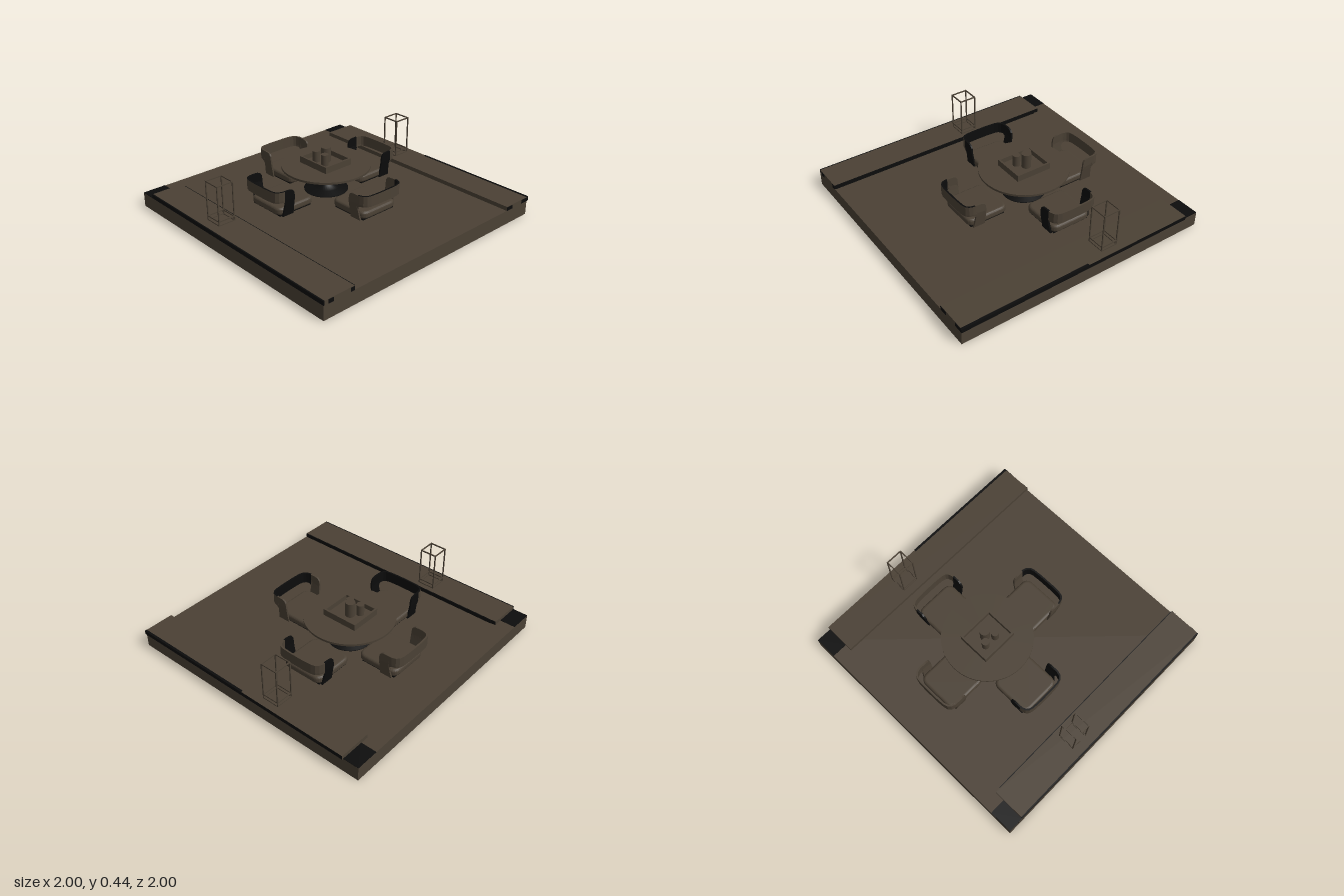
import * as THREE from 'three';

const brown = new THREE.MeshStandardMaterial({ color: 0x4b4135 });
brown.name = 'dark taupe';
const black = new THREE.MeshStandardMaterial({ color: 0x0c0c0c });
black.name = 'black';

function add(parent, name, geometry, material, x = 0, y = 0, z = 0) {
  const mesh = new THREE.Mesh(geometry, material);
  mesh.name = name;
  mesh.position.set(x, y, z);
  parent.add(mesh);
  return mesh;
}

// Box given by its minimum and maximum corners
function span(parent, name, material, x0, x1, y0, y1, z0, z1) {
  return add(parent, name, new THREE.BoxGeometry(x1 - x0, y1 - y0, z1 - z0), material,
    (x0 + x1) / 2, (y0 + y1) / 2, (z0 + z1) / 2);
}

// Rounded cushion lying flat, centred on its own origin in x and z, with its foot at y = 0
function cushionGeometry(w, d, h, corner, bevel) {
  const a = w / 2 - bevel, b = d / 2 - bevel, r = corner;
  const s = new THREE.Shape();
  s.moveTo(-a + r, -b);
  s.lineTo(a - r, -b); s.quadraticCurveTo(a, -b, a, -b + r);
  s.lineTo(a, b - r); s.quadraticCurveTo(a, b, a - r, b);
  s.lineTo(-a + r, b); s.quadraticCurveTo(-a, b, -a, b - r);
  s.lineTo(-a, -b + r); s.quadraticCurveTo(-a, -b, -a + r, -b);
  const g = new THREE.ExtrudeGeometry(s, {
    depth: h - 2 * bevel, bevelEnabled: true, bevelSize: bevel,
    bevelThickness: bevel, bevelSegments: 4, curveSegments: 6,
  });
  return g.rotateX(-Math.PI / 2).translate(0, bevel, 0);
}

// Half of the chair shell in plan: [x, z, bottom, top], from the arm's front to the middle of the back
const half = [
  [0.19, 0.165, 0.11, 0.255], [0.19, 0.161, 0.11, 0.285], [0.19, 0.15, 0.11, 0.302],
  [0.19, 0.13, 0.11, 0.31], [0.19, 0.1, 0.11, 0.312], [0.19, 0.088, 0.14, 0.312],
  [0.19, 0.084, 0.205, 0.312], [0.19, 0.076, 0.22, 0.312], [0.188, 0.06, 0.23, 0.312],
  [0.178, 0.032, 0.23, 0.312], [0.158, 0.013, 0.23, 0.312], [0.125, 0.004, 0.23, 0.312],
  [0.06, 0.0, 0.23, 0.312], [0, 0, 0.23, 0.312],
];

// Groups: 0 outside, 1 inside and rims, 2 arms
function shellGeometry() {
  const cols = [...half, ...half.slice(0, -1).reverse().map(([x, z, b, t]) => [-x, z, b, t])];
  const rows = 6, thick = 0.013, parts = [[], [], []];
  const point = (i, j, inner) => {
    const [x, z, b, t] = cols[i];
    const p = cols[Math.max(i - 1, 0)], n = cols[Math.min(i + 1, cols.length - 1)];
    const dx = n[0] - p[0], dz = n[1] - p[1], l = Math.hypot(dx, dz);
    const y = b + (t - b) * j / rows;
    const lean = Math.min(1, 0.89 + 0.11 * (y - 0.11) / 0.13);
    // The foot sweeps a little towards the back
    const sweep = b < 0.15 && i > 2 && i < cols.length - 3 ? 0.03 * Math.max(0, 1 - (y - 0.11) / 0.05) : 0;
    const k = inner ? thick : 0;
    return [x * lean + dz / l * k, y, z - sweep - dx / l * k];
  };
  const quad = (list, a, b, c, d) => list.push(...a, ...b, ...c, ...a, ...c, ...d);
  const last = cols.length - 1;
  for (let i = 0; i < last; i++) {
    const arm = i < 7 || i >= last - 7;
    const out = parts[arm ? 2 : 0], ins = parts[arm ? 2 : 1];
    for (let j = 0; j < rows; j++) {
      quad(out, point(i, j), point(i, j + 1), point(i + 1, j + 1), point(i + 1, j));
      quad(ins, point(i, j, true), point(i + 1, j, true), point(i + 1, j + 1, true), point(i, j + 1, true));
    }
    quad(ins, point(i, rows), point(i, rows, true), point(i + 1, rows, true), point(i + 1, rows));
    quad(ins, point(i, 0), point(i + 1, 0), point(i + 1, 0, true), point(i, 0, true));
  }
  for (let j = 0; j < rows; j++) {
    quad(parts[2], point(0, j), point(0, j, true), point(0, j + 1, true), point(0, j + 1));
    quad(parts[2], point(last, j), point(last, j + 1), point(last, j + 1, true), point(last, j, true));
  }
  // The plan runs from +x round the back to -x, so flip the faces to point outwards
  const g = new THREE.BufferGeometry();
  const all = parts.flat();
  for (let i = 0; i < all.length; i += 9) {
    for (let k = 0; k < 3; k++) [all[i + 3 + k], all[i + 6 + k]] = [all[i + 6 + k], all[i + 3 + k]];
  }
  g.setAttribute('position', new THREE.Float32BufferAttribute(all, 3));
  let start = 0;
  parts.forEach((p, i) => { g.addGroup(start, p.length / 3, i); start += p.length / 3; });
  g.computeVertexNormals();
  return g;
}

function makeChair(name, x, z, turn, colours) {
  const chair = new THREE.Group();
  chair.name = name;
  const mats = colours.map((c) => (c === black ? blackShell : brownShell));
  add(chair, 'chairShell', shellGeometry(), mats);
  add(chair, 'seatCushion', cushionGeometry(0.33, 0.33, 0.058, 0.04, 0.02), brown, 0, 0.116, 0.205);
  add(chair, 'seatBase', new THREE.BoxGeometry(0.3, 0.012, 0.28), black, 0, 0.114, 0.2);
  chair.position.set(x, 0, z);
  chair.rotation.y = turn;
  return chair;
}
const brownShell = brown, blackShell = black;
brown.side = black.side = THREE.DoubleSide;

function makeLantern(x, z) {
  const lantern = new THREE.Group();
  lantern.name = 'lantern';
  const h = 0.064, t = 0.008;
  for (const sx of [-1, 1]) {
    for (const sz of [-1, 1]) {
      add(lantern, 'lanternPost', new THREE.BoxGeometry(t, 0.3, t), brown, sx * h, 0.15, sz * h);
    }
    for (const y of [0.004, 0.034, 0.296]) {
      add(lantern, 'lanternRail', new THREE.BoxGeometry(2 * h, t, t), brown, 0, y, sx * h);
      add(lantern, 'lanternRail', new THREE.BoxGeometry(t, t, 2 * h), brown, sx * h, y, 0);
    }
  }
  lantern.position.set(x, 0.138, z);
  return lantern;
}

export function createModel() {
  const model = new THREE.Group();
  model.name = 'diningTerrace';

  // Floor slab and the two raised side platforms
  span(model, 'floor', brown, -1, 0.985, 0, 0.108, -1, 0.995);
  const sides = [black, brown, brown, brown, brown, brown];
  span(model, 'rightPlatform', sides, -0.99, -0.747, 0.108, 0.139, -0.88, 0.995);
  span(model, 'leftPlatform', sides, 0.75, 0.995, 0.108, 0.139, -0.88, 0.995);

  // Dark floor patches and platform edges
  span(model, 'backPatch', black, -1, -0.82, 0.108, 0.111, -1, -0.88);
  span(model, 'backPatch', black, 0.81, 0.985, 0.108, 0.111, -1, -0.88);
  span(model, 'platformGap', black, -0.747, -0.741, 0.108, 0.138, -0.84, 0.99);
  span(model, 'outerEdge', black, -1, -0.99, 0.108, 0.138, -0.88, 0.995);
  span(model, 'outerEdge', black, 0.98, 0.998, 0.135, 0.1405, 0, 0.995);
  for (const [a, b] of [[-0.96, -0.92], [-0.78, -0.747], [0.75, 0.81], [0.92, 0.995]]) {
    span(model, 'frontEdge', black, a, b, 0.108, 0.136, 0.994, 0.998);
  }

  // Round table on a flared pedestal
  const table = new THREE.Group();
  table.name = 'table';
  table.position.set(0.053, 0, -0.15);
  model.add(table);
  add(table, 'tableTop', new THREE.CylinderGeometry(0.333, 0.333, 0.016, 64), brown, 0, 0.302, 0);
  const foot = [[0.165, 0.108], [0.165, 0.116], [0.1, 0.128], [0.055, 0.15], [0.04, 0.19], [0.04, 0.294]];
  add(table, 'pedestal', new THREE.LatheGeometry(foot.map(([r, y]) => new THREE.Vector2(r, y)), 32), black);

  // Tray with three candles
  span(model, 'trayFloor', brown, -0.075, 0.175, 0.31, 0.322, -0.295, -0.01);
  for (const [x0, x1, z0, z1] of [[-0.075, -0.061, -0.295, -0.01], [0.161, 0.175, -0.295, -0.01],
    [-0.061, 0.161, -0.295, -0.281], [-0.061, 0.161, -0.024, -0.01]]) {
    span(model, 'trayWall', brown, x0, x1, 0.31, 0.36, z0, z1);
  }
  for (const [x, z, r, top] of [[0.01, -0.21, 0.028, 0.407], [0.01, -0.115, 0.028, 0.407], [0.065, -0.163, 0.036, 0.434]]) {
    add(model, 'candle', new THREE.CylinderGeometry(r, r, top - 0.322, 24), brown, x, (top + 0.322) / 2, z);
  }

  // Four chairs facing the table: outside, inside and arm colours
  model.add(makeChair('frontChair', 0.046, 0.467, Math.PI, [brown, black, brown]));
  model.add(makeChair('backChair', 0.046, -0.725, 0, [brown, brown, brown]));
  model.add(makeChair('rightChair', -0.553, -0.175, Math.PI / 2, [brown, black, black]));
  model.add(makeChair('leftChair', 0.64, -0.175, -Math.PI / 2, [brown, brown, black]));

  // Lanterns on the platforms
  model.add(makeLantern(-0.855, -0.218), makeLantern(0.873, -0.218));
  return model;
}
